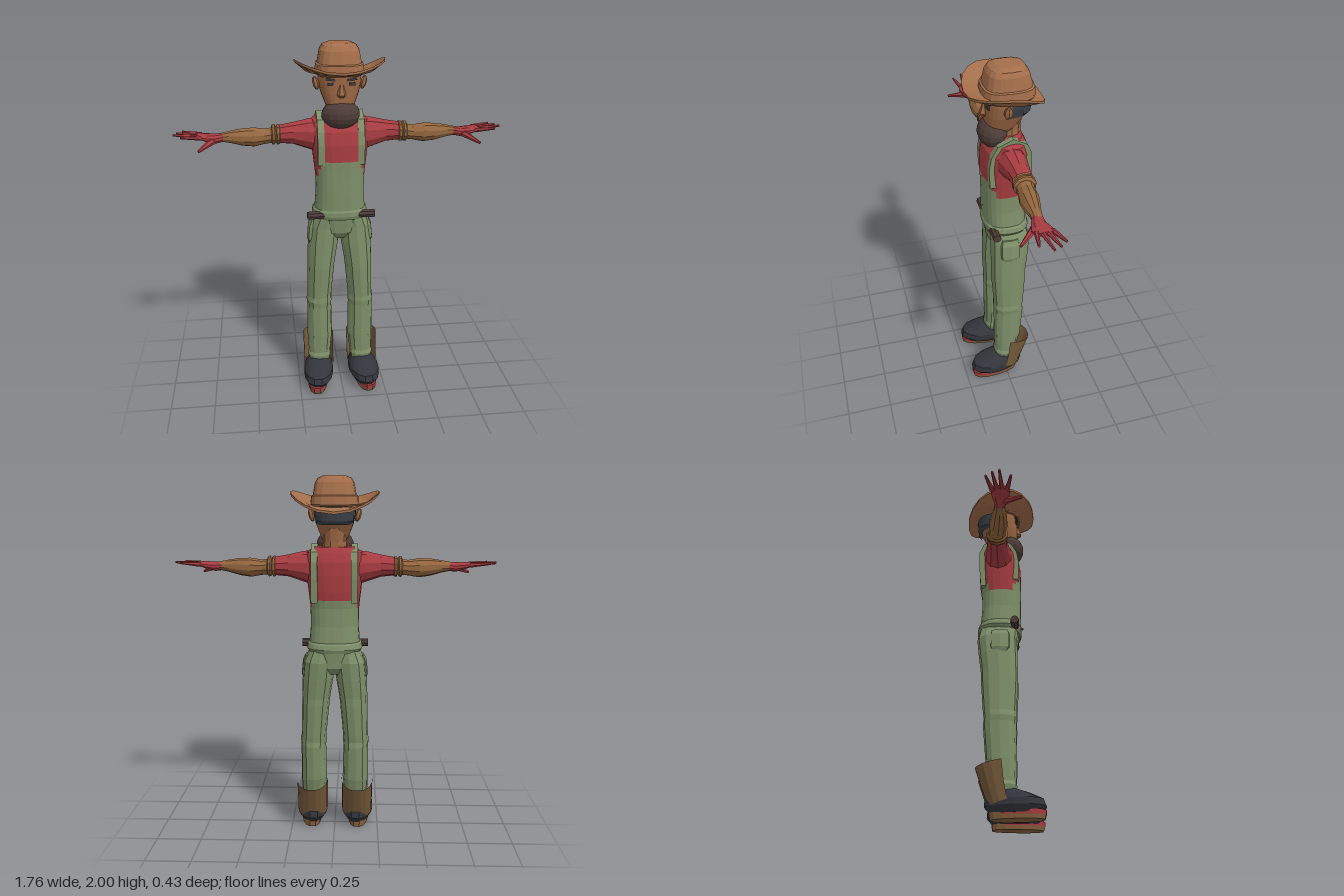
import * as THREE from 'three';

const mat = (name, color) => Object.assign(new THREE.MeshStandardMaterial({ color }), { name });

// Ring round the y axis: [y, x, z, rx, rz]; p squares off the ellipse
function ringY([y, x, z, rx, rz], n = 12, p = 2.4, a0 = 0, a1 = Math.PI * 2, tilt = 0) {
  const pts = [], open = a1 - a0 < 6;
  for (let j = 0; j < n; j++) {
    const t = a0 + (a1 - a0) * j / (open ? n - 1 : n), c = Math.cos(t), s = Math.sin(t);
    pts.push(new THREE.Vector3(x + Math.sign(c) * Math.abs(c) ** (2 / p) * rx, y + tilt * s,
      z + Math.sign(s) * Math.abs(s) ** (2 / p) * rz));
  }
  return pts;
}
// Ring round the x axis: [x, y, z, ry, rz]
function ringX([x, y, z, ry, rz], n = 10) {
  return Array.from({ length: n }, (_, j) => {
    const t = j / n * Math.PI * 2;
    return new THREE.Vector3(x, y + Math.cos(t) * ry, z - Math.sin(t) * rz);
  });
}
// Flat-faced skin over rings; pick(centre) chooses a material index
function loft(rings, { open = false, cap = !open, pick = () => 0 } = {}) {
  const lists = [[], []], n = rings[0].length;
  const tri = (k, ...v) => v.forEach(q => lists[k].push(q.x, q.y, q.z));
  for (let i = 0; i < rings.length - 1; i++) {
    for (let j = 0; j < (open ? n - 1 : n); j++) {
      const a = rings[i][j], b = rings[i][(j + 1) % n], d = rings[i + 1][j], c = rings[i + 1][(j + 1) % n];
      const k = pick(new THREE.Vector3().add(a).add(b).add(c).add(d).multiplyScalar(0.25));
      tri(k, a, d, c);
      tri(k, a, c, b);
    }
  }
  if (cap) [rings[0], rings[rings.length - 1]].forEach((r, e) => {
    const m = r.reduce((s, v) => s.add(v), new THREE.Vector3()).divideScalar(n);
    const k = pick(m);
    r.forEach((v, j) => (e ? tri(k, m, r[(j + 1) % n], v) : tri(k, m, v, r[(j + 1) % n])));
  });
  const g = new THREE.BufferGeometry();
  g.setAttribute('position', new THREE.Float32BufferAttribute([...lists[0], ...lists[1]], 3));
  g.addGroup(0, lists[0].length / 3, 0);
  if (lists[1].length) g.addGroup(lists[0].length / 3, lists[1].length / 3, 1);
  g.computeVertexNormals();
  return g;
}
function flat(g) {
  const f = g.index ? g.toNonIndexed() : g;
  f.computeVertexNormals();
  return f;
}
function mirrored(g) {
  const m = g.clone().scale(-1, 1, 1), p = m.attributes.position;
  for (let i = 0; i < p.count; i += 3) {
    const b = new THREE.Vector3().fromBufferAttribute(p, i + 1), c = new THREE.Vector3().fromBufferAttribute(p, i + 2);
    p.setXYZ(i + 1, c.x, c.y, c.z);
    p.setXYZ(i + 2, b.x, b.y, b.z);
  }
  m.computeVertexNormals();
  return m;
}
// Tapered rod between two points
function rod(a, b, r0, r1, n = 6) {
  const A = new THREE.Vector3(...a), B = new THREE.Vector3(...b), d = B.clone().sub(A);
  const g = new THREE.CylinderGeometry(r1, r0, d.length(), n);
  g.applyQuaternion(new THREE.Quaternion().setFromUnitVectors(new THREE.Vector3(0, 1, 0), d.clone().normalize()));
  g.translate(...A.add(B).multiplyScalar(0.5).toArray());
  return flat(g);
}

export function createModel() {
  const model = new THREE.Group();
  const skin = mat('face skin', 0x9c6743), arm = mat('arm skin', 0x94673f), hat = mat('hat brown', 0xa46e4a);
  const beard = mat('dark brown', 0x4e3c38), hair = mat('hair', 0x3a4048), red = mat('red', 0xa83c41);
  const green = mat('green denim', 0x7e8f69), boot = mat('boot black', 0x33353c);
  const leather = mat('leather', 0x735839), sole = mat('sole', 0x87623f);
  leather.side = THREE.DoubleSide;
  const add = (name, g, m) => {
    const mesh = new THREE.Mesh(g, m);
    mesh.name = name;
    model.add(mesh);
  };
  const pair = (name, g, m) => {
    add(name + 'Left', g, m);
    add(name + 'Right', mirrored(g), m);
  };

  // Torso: red shirt above the green overalls, cut lower at the sides
  const torso = [[1.055, -.025, .142, .118], [1.075, -.025, .155, .125], [1.1, -.022, .15, .122], [1.11, -.02, .14, .115],
    [1.2, -.015, .133, .112], [1.3, -.015, .135, .112], [1.345, -.018, .14, .116], [1.39, -.02, .145, .12],
    [1.48, -.023, .155, .121], [1.55, -.028, .16, .112], [1.6, -.036, .15, .088], [1.63, -.045, .11, .065]];
  add('torso', loft(torso.map(([y, z, rx, rz]) => ringY([y, 0, z, rx, rz], 24, 2.6)), {
    pick: c => +(c.y > 1.39 || (c.y > 1.3 && Math.abs(c.x) > .115) || (c.y > 1.345 && c.z < -.03)),
  }), [green, red]);

  // Overall straps wrap over the shoulders
  const path = [[.084, 1.37], [.088, 1.48], [.076, 1.55], [.042, 1.61], [-.04, 1.645], [-.115, 1.605], [-.139, 1.55], [-.14, 1.46], [-.13, 1.33]];
  const inner = path.map(([z, y]) => [-.03 + (z + .03) * .7, y - (y > 1.59 ? .035 : 0)]).reverse();
  const strap = new THREE.ExtrudeGeometry(new THREE.Shape([...path, ...inner].map(q => new THREE.Vector2(...q))), { depth: .036, bevelEnabled: false });
  pair('strap', flat(strap.rotateY(-Math.PI / 2).translate(.126, 0, 0)), green);
  add('waistRod', rod([-.187, 1.08, .062], [.187, 1.08, .062], .023, .023, 8), beard);

  // Trousers
  add('pelvis', loft([[.93, -.03, .055, .075], [.97, -.03, .12, .105], [1.07, -.027, .138, .115]]
    .map(([y, z, rx, rz]) => ringY([y, 0, z, rx, rz], 14))), green);
  const leg = [[.13, .125, .01, .06, .052], [.17, .125, .008, .07, .062], [.19, .123, 0, .066, .064], [.3, .12, -.012, .074, .08],
    [.5, .121, -.02, .071, .088], [.53, .121, -.016, .075, .087], [.56, .119, -.02, .071, .088], [.75, .108, -.022, .078, .1],
    [.79, .105, -.022, .08, .1], [.9, .094, -.03, .087, .106], [1, .085, -.036, .086, .11], [1.07, .072, -.027, .066, .105]];
  pair('trouserLeg', loft(leg.map(s => ringY(s, 12))), green);
  pair('pocket', loft([[.895, .145, -.02, .034, .04], [.92, .145, -.018, .042, .057], [1.0, .137, -.018, .042, .057], [1.03, .13, -.02, .035, .05]]
    .map(s => ringY(s, 8, 4))), green);

  // Boots: black foot, sole with a red toe band, leather guard behind the leg
  const turn = g => flat(g.translate(-.13, 0, 0).rotateY(.1).translate(.13, 0, 0));
  const foot = [[.03, .13, .062, .066, .13], [.065, .13, .06, .087, .158], [.1, .13, .055, .086, .15], [.13, .13, .035, .068, .105], [.152, .13, .02, .045, .06]];
  pair('foot', turn(loft(foot.map(s => ringY(s, 14, 2.2)))), boot);
  pair('sole', turn(loft([[0, .135, .07, .055, .138], [.022, .135, .072, .059, .143], [.045, .135, .072, .061, .145]]
    .map(s => ringY(s, 14, 2.4)), { pick: c => +(c.y > .024 && c.z > .03) })), [sole, red]);
  pair('bootGuard', loft([[.09, .13, .02, .088, .095], [.18, .13, .003, .088, .11], [.29, .13, -.008, .09, .137]]
    .map(s => ringY(s, 10, 2.4, Math.PI, Math.PI * 2, .03)), { open: true }), leather);

  // Arms
  const along = list => loft(list.map(s => ringX(s)));
  pair('sleeve', along([[.09, 1.51, -.026, .1, .085], [.17, 1.52, -.03, .083, .072], [.25, 1.525, -.032, .06, .058], [.33, 1.522, -.032, .049, .053]]), red);
  [.318, .343].forEach((x, i) => pair('cuff' + (i + 1), along([[x, 1.522, -.03, .045, .05], [x + .006, 1.522, -.03, .056, .06],
    [x + .018, 1.52, -.029, .056, .059], [x + .024, 1.52, -.029, .045, .05]]), arm));
  pair('forearm', along([[.34, 1.52, -.03, .042, .048], [.4, 1.514, -.024, .042, .045], [.46, 1.513, -.018, .052, .05],
    [.52, 1.516, -.012, .047, .043], [.58, 1.52, -.008, .034, .032], [.645, 1.52, -.005, .021, .024]]), arm);

  // Gloved hands
  pair('palm', along([[.62, 1.52, -.005, .024, .028], [.66, 1.516, .002, .026, .037], [.71, 1.524, .002, .02, .05], [.755, 1.533, -.003, .011, .048]]), red);
  [[-.04, .838, -.07], [-.016, .865, -.036], [.01, .88, 0], [.034, .838, .057]].forEach(([z, x, tz], i) =>
    pair('finger' + (i + 1), rod([.735, 1.53, z], [x, 1.54, tz], .0135, .006), red));
  pair('thumb', rod([.67, 1.512, .02], [.745, 1.478, .11], .02, .007), red);

  // Neck and head, with hair over the back
  add('neck', loft([[1.58, 0, -.05, .07, .06], [1.66, 0, -.05, .062, .06], [1.75, 0, -.055, .07, .066]].map(s => ringY(s, 10, 2))), skin);
  const head = [[1.63, 0, .015, .045, .05], [1.68, 0, -.005, .075, .083], [1.75, 0, -.025, .102, .105], [1.8, 0, -.034, .113, .114], [1.88, 0, -.036, .115, .118]];
  add('head', loft(head.map(s => ringY(s, 24, 2.6)), { pick: c => +(c.y > 1.76 && c.z < -.02) }), [skin, hair]);
  add('hairBack', loft([[1.745, 0, -.045, .09, .095], [1.765, 0, -.045, .107, .11], [1.87, 0, -.045, .117, .118]]
    .map(s => ringY(s, 14, 2.5, Math.PI * 1.12, Math.PI * 1.88)), { open: true }), hair);
  const ear = flat(new THREE.SphereGeometry(.034, 6, 5).scale(.5, 1.1, .7).rotateZ(-.25));
  pair('ear', ear.translate(.126, 1.795, -.012), skin);
  add('nose', loft([[1.735, 0, .075, .017, .017], [1.748, 0, .08, .024, .026], [1.8, 0, .075, .011, .012]].map(s => ringY(s, 6))), skin);
  const plate = (w, h, y, tilt) => flat(new THREE.BoxGeometry(w, h, .009).rotateZ(tilt).rotateY(.2).translate(.056, y, .075));
  pair('eye', plate(.03, .014, 1.803, 0), hair);
  pair('eyebrow', plate(.05, .011, 1.826, .12), hair);
  add('beard', flat(new THREE.SphereGeometry(.1, 14, 9).scale(1.02, .78, .78).translate(0, 1.638, .038)), beard);

  // Hat: stepped crown and a brim curled up at the sides
  const crown = [[1.84, .122, .126], [1.85, .13, .136], [1.895, .126, .132], [1.9, .117, .122], [1.965, .105, .106], [1.988, .09, .09], [2, .06, .06]];
  add('hatCrown', loft(crown.map(([y, rx, rz]) => ringY([y, 0, -.038, rx, rz], 16, 3))), hat);
  const brimRing = (rx, rz, z, y, tilt, lift, drop) => ringY([y - drop, 0, z, rx, rz], 20, 2.3, 0, Math.PI * 2, tilt)
    .map(v => v.setY(v.y + lift * (v.x / rx) ** 2));
  const spans = [[.115, .12, -.036, 1.848, .01, .002], [.18, .165, -.028, 1.845, .02, .024], [.238, .199, -.018, 1.846, .031, .074]];
  add('hatBrim', loft([...spans.map(s => brimRing(...s, .013)), ...spans.slice().reverse().map(s => brimRing(...s, 0))], { cap: false }), hat);

  return model;
}
